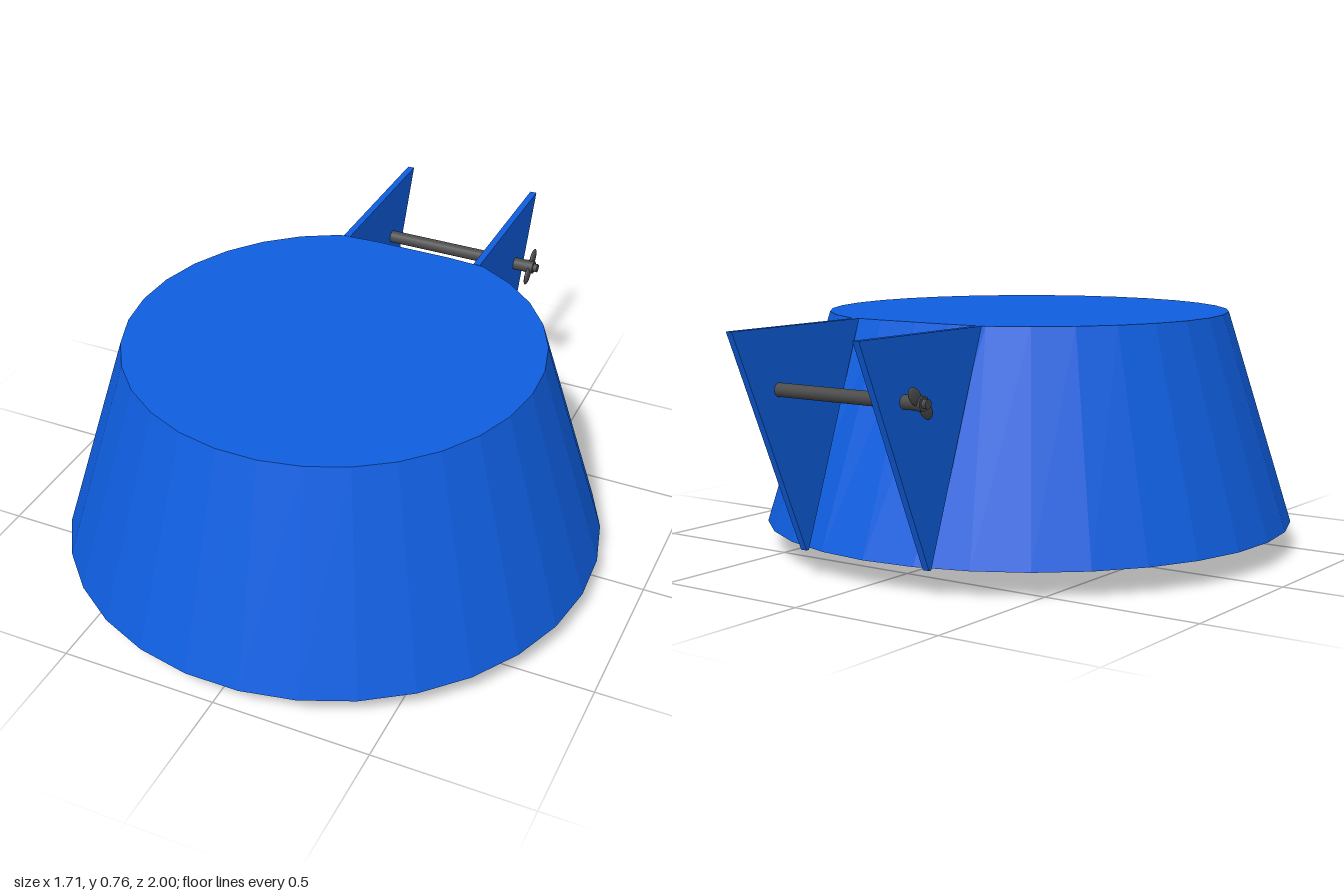
import * as THREE from 'three';

const SIDES = 31;
const CENTRE_Z = 0.147;
const BASE_Y = 0.08;
const TOP_Y = 0.757;

export function createModel() {
  const model = new THREE.Group();
  model.name = 'taperedHousing';
  const blue = new THREE.MeshStandardMaterial({ color: 0x0f5ee0, flatShading: true });
  const dark = new THREE.MeshStandardMaterial({ color: 0x4a4a4a });
  const darkOpen = new THREE.MeshStandardMaterial({ color: 0x4a4a4a, side: THREE.DoubleSide });

  const add = (parent, name, geometry, material) => {
    const mesh = new THREE.Mesh(geometry, material);
    mesh.name = name;
    parent.add(mesh);
    return mesh;
  };

  // Tapered body with a corner at the back; the rim is cut straight between the brackets
  const body = new THREE.CylinderGeometry(0.646, 0.856, TOP_Y - BASE_Y, SIDES, 1, false, Math.PI);
  body.translate(0, (TOP_Y + BASE_Y) / 2, CENTRE_Z);
  const p = body.attributes.position;
  for (let i = 0; i < p.count; i++) {
    if (p.getY(i) > 0.5 && p.getZ(i) < -0.455) p.setZ(i, -0.455);
  }
  body.computeVertexNormals();
  add(model, 'body', body, blue);

  // Open collar under the body
  const collar = new THREE.CylinderGeometry(0.117, 0.117, BASE_Y, SIDES, 1, true);
  collar.translate(0, BASE_Y / 2, CENTRE_Z);
  add(model, 'collar', collar, darkOpen);

  // Triangular bracket profile, drawn with x = -z
  const profile = new THREE.Shape([
    new THREE.Vector2(0.45, TOP_Y),
    new THREE.Vector2(0.695, BASE_Y),
    new THREE.Vector2(0.705, BASE_Y),
    new THREE.Vector2(1.0, TOP_Y),
  ]);

  // Hinge pin through both brackets
  const pinHolder = new THREE.Group();
  pinHolder.name = 'hingePin';
  pinHolder.position.set(0, 0.575, -0.81);
  model.add(pinHolder);
  const rod = (r, length) => new THREE.CylinderGeometry(r, r, length, 16).rotateZ(Math.PI / 2);
  add(pinHolder, 'pin', rod(0.021, 0.58), dark);
  add(pinHolder, 'pinThread', rod(0.014, 0.65), dark);

  for (const side of [-1, 1]) {
    const label = side > 0 ? 'left' : 'right';
    const plate = new THREE.ExtrudeGeometry(profile, { depth: 0.022, bevelEnabled: false });
    plate.translate(0, 0, -0.011).rotateY(Math.PI / 2);
    add(model, label + 'Bracket', plate, blue).position.x = side * 0.231;

    // Wing nut: a round hub and two flat lobes on a slant
    const nut = new THREE.Group();
    nut.name = label + 'WingNut';
    nut.position.x = side * 0.298;
    nut.rotation.x = 0.72;
    pinHolder.add(nut);
    add(nut, 'hub', rod(0.022, 0.026), dark);
    for (const end of [-1, 1]) {
      const lobe = new THREE.SphereGeometry(1, 16, 10).scale(0.008, 0.022, 0.034);
      add(nut, 'wing', lobe, dark).position.z = end * 0.032;
    }
  }
  return model;
}
